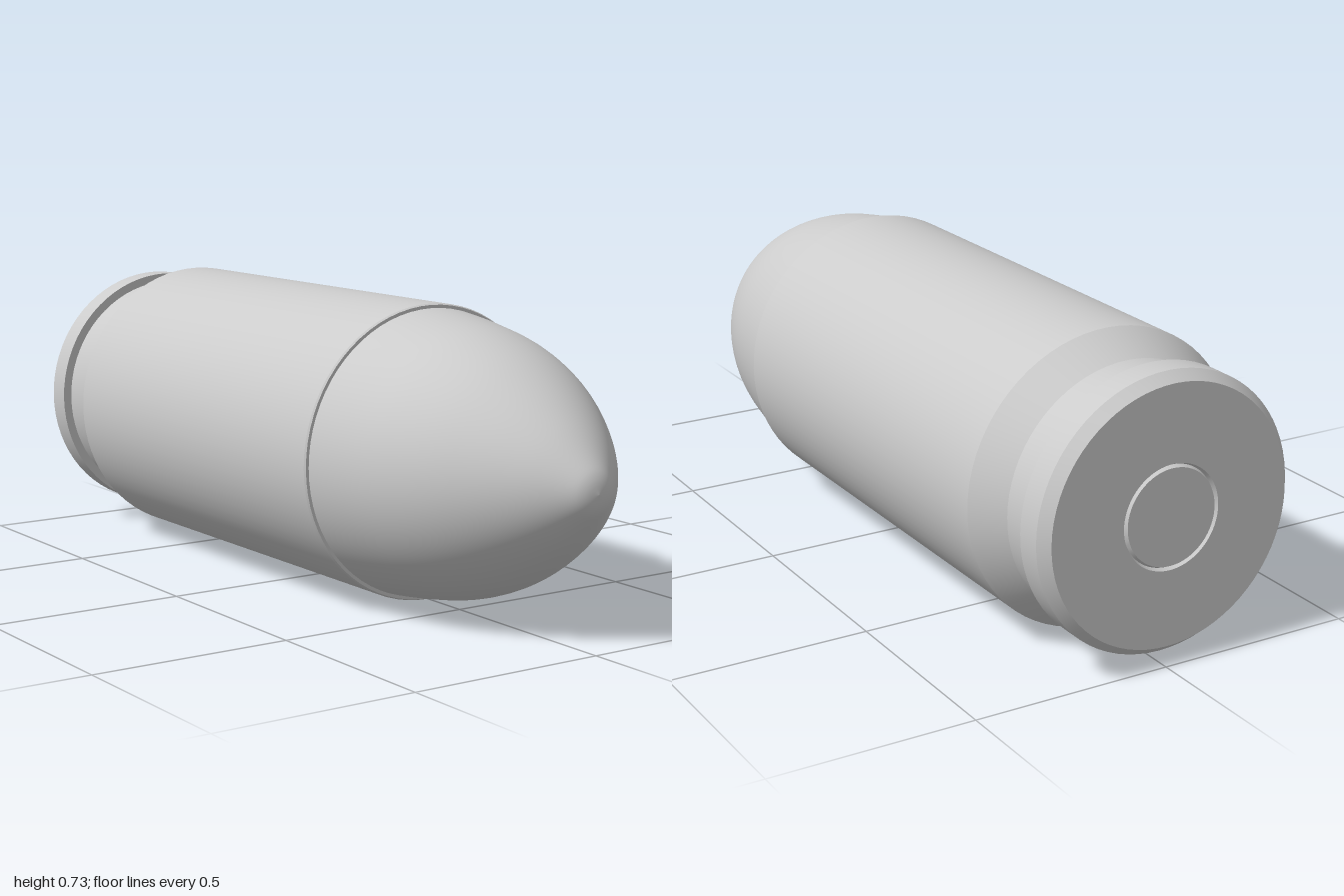
import * as THREE from 'three';
import { toCreasedNormals } from 'three/addons/utils/BufferGeometryUtils.js';

const AXIS_Y = 0.366;
const SEGMENTS = 72;

// Revolves [radius, z] points, listed back to front, around the long axis.
function turned(name, points, material, creased = true) {
  const profile = points.map(([r, z]) => new THREE.Vector2(r, z));
  let geometry = new THREE.LatheGeometry(profile, SEGMENTS);
  geometry.rotateX(Math.PI / 2);
  if (creased) geometry = toCreasedNormals(geometry, 0.4);
  const mesh = new THREE.Mesh(geometry, material);
  mesh.name = name;
  mesh.position.y = AXIS_Y;
  return mesh;
}

export function createModel() {
  const group = new THREE.Group();
  group.name = 'cartridge';
  const material = new THREE.MeshStandardMaterial({ color: 0xcccccc });

  // Case: base face, bevelled rim, extractor groove, taper, body and mouth
  group.add(turned('case', [
    [0.122, -0.99], [0.127, -1],
    [0.314, -1], [0.336, -0.973], [0.336, -0.909],
    [0.313, -0.909], [0.313, -0.818],
    [0.366, -0.735], [0.366, 0.372],
    [0.363, 0.377], [0.35, 0.377],
  ], material));

  // Primer: disc set in the base with a fine bevelled seam
  group.add(turned('primer', [
    [0, -1], [0.117, -1], [0.122, -0.99],
  ], material));

  // Bullet: smooth ogive closing to a small rounded tip
  const ogive = new THREE.SplineCurve([
    [0.356, 0.37], [0.342, 0.48], [0.318, 0.6], [0.276, 0.71], [0.216, 0.81],
    [0.144, 0.9], [0.07, 0.97], [0.035, 0.993], [0, 1],
  ].map(([r, z]) => new THREE.Vector2(r, z)));
  const bulletProfile = ogive.getPoints(40).map((p) => [Math.max(p.x, 0), p.y]);
  group.add(turned('bullet', bulletProfile, material, false));

  return group;
}
